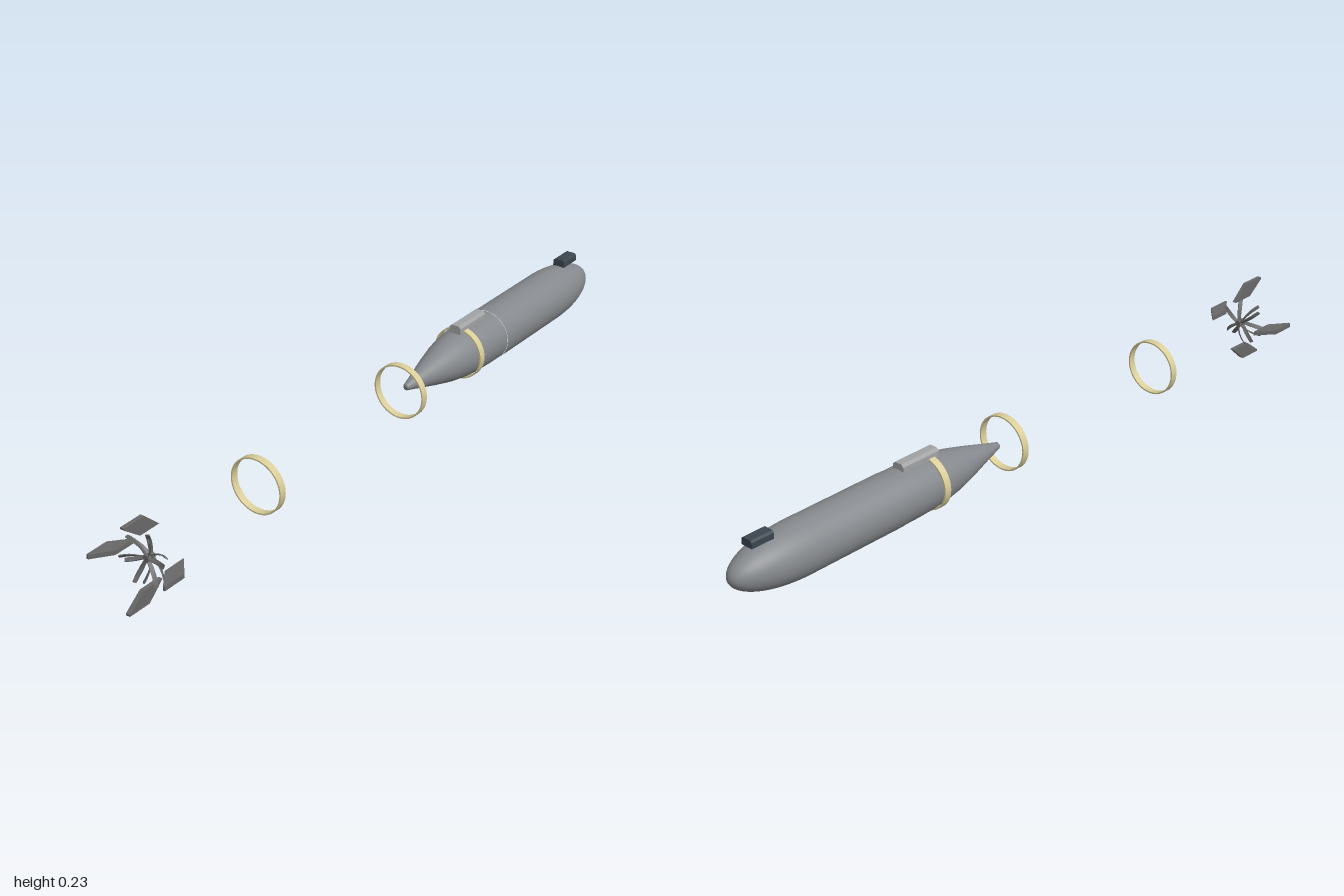
import * as THREE from 'three';

const AXIS_Y = 0.117; // height of the long axis

const mat = (color, side = THREE.FrontSide) =>
  new THREE.MeshStandardMaterial({ color, side });

function add(parent, name, geometry, material, x = 0, y = 0, z = 0) {
  const mesh = new THREE.Mesh(geometry, material);
  mesh.name = name;
  mesh.position.set(x, y, z);
  parent.add(mesh);
  return mesh;
}

// Surface of revolution about x, from [x, radius] points in order of rising x
function turned(points, segments = 48) {
  const pts = points.map(([x, r]) => new THREE.Vector2(r, x));
  return new THREE.LatheGeometry(pts, segments).rotateZ(-Math.PI / 2);
}

// Thin band with flat edges, each face with its own sharp normals
function band(parent, name, x, outer, material) {
  const shape = new THREE.Shape().absarc(0, 0, outer, 0, Math.PI * 2);
  shape.holes.push(new THREE.Path().absarc(0, 0, outer - 0.004, 0, Math.PI * 2, true));
  const geo = new THREE.ExtrudeGeometry(shape, { depth: 0.02, bevelEnabled: false, curveSegments: 48 });
  geo.translate(0, 0, -0.01).rotateY(Math.PI / 2);
  add(parent, name, geo, material, x);
}

// Housing along x with chamfered top edges
function housing(length, width, height, chamfer) {
  const w = width / 2, h = height / 2;
  const shape = new THREE.Shape([
    [-w, -h], [w, -h], [w, h - chamfer], [w - chamfer, h], [chamfer - w, h], [-w, h - chamfer],
  ].map(p => new THREE.Vector2(...p)));
  return new THREE.ExtrudeGeometry(shape, { depth: length, bevelEnabled: false })
    .translate(0, 0, -length / 2).rotateY(Math.PI / 2);
}

// Slender twisted blade along +y, swept back towards its tip
function blade(handed) {
  const geo = new THREE.BoxGeometry(0.003, 1, 0.012, 1, 10, 1);
  const p = geo.attributes.position;
  for (let i = 0; i < p.count; i++) {
    const t = p.getY(i) + 0.5;
    const twist = handed * (1.15 - 0.5 * t);
    const chord = p.getZ(i) * (0.7 + 0.8 * t - 0.7 * t * t);
    const thick = p.getX(i);
    p.setXYZ(i,
      thick * Math.cos(twist) + chord * Math.sin(twist) - 0.02 * t * t,
      0.006 + 0.062 * t,
      chord * Math.cos(twist) - thick * Math.sin(twist) + handed * 0.01 * t * t);
  }
  geo.computeVertexNormals();
  return geo;
}

export function createModel() {
  const model = new THREE.Group();
  model.name = 'explodedTorpedo';
  const axis = new THREE.Group();
  axis.name = 'axis';
  axis.position.y = AXIS_Y;
  model.add(axis);

  const hullGrey = mat(0x85888c);
  const darkGrey = mat(0x686868);
  const lightGrey = mat(0xa0a2a4);
  const slate = mat(0x3c454e);
  const cream = mat(0xd8cc98);

  // Hull: tapered tail, straight middle and blunt pointed nose
  add(axis, 'tailCone', turned([
    [0.105, 0], [0.105, 0.009], [0.16, 0.024], [0.22, 0.041], [0.28, 0.056],
    [0.33, 0.0645], [0.38, 0.069], [0.43, 0.071], [0.49, 0.0715],
  ]), hullGrey);
  add(axis, 'midHull', turned([[0.49, 0.0725], [0.79, 0.0725]]), hullGrey);
  const nose = [];
  for (let i = 0; i <= 20; i++) {
    const t = i / 20;
    nose.push([0.79 + 0.21 * Math.sin(t * Math.PI / 2), 0.0725 * Math.cos(t * Math.PI / 2)]);
  }
  nose[20][1] = 0;
  add(axis, 'nose', turned(nose), hullGrey);

  // Clamp bands: one fitted, two drawn off towards the tail
  band(axis, 'fittedBand', 0.36, 0.074, cream);
  band(axis, 'middleBand', 0.08, 0.0765, cream);
  band(axis, 'rearBand', -0.52, 0.0765, cream);

  // Housings on the upper side
  add(axis, 'rearHousing', housing(0.122, 0.036, 0.024, 0.007), lightGrey, 0.396, 0.077);
  add(axis, 'frontHousing', housing(0.067, 0.036, 0.021, 0.005), slate, 0.907, 0.076);

  // Four swept tail fins
  const finShape = new THREE.Shape([
    [-0.95, 0.074], [-0.884, 0.074], [-0.932, 0.117], [-1, 0.117], [-1, 0.112],
  ].map(p => new THREE.Vector2(...p)));
  const finGeo = new THREE.ExtrudeGeometry(finShape, { depth: 0.012, bevelEnabled: false })
    .translate(0, 0, -0.006);
  const finNames = ['topFin', 'frontFin', 'bottomFin', 'backFin'];
  finNames.forEach((name, i) => {
    add(axis, name, finGeo, darkGrey).rotation.x = i * Math.PI / 2;
  });

  // Two opposed propellers on small hubs
  [1, -1].forEach((handed, k) => {
    const prop = new THREE.Group();
    prop.name = k ? 'rearPropeller' : 'frontPropeller';
    prop.position.x = k ? -0.925 : -0.911;
    axis.add(prop);
    const geo = blade(handed);
    for (let i = 0; i < 6; i++) {
      add(prop, 'blade', geo, darkGrey).rotation.x = (i + k / 2) * Math.PI / 3;
    }
    add(prop, 'hub', new THREE.CylinderGeometry(0.009, 0.009, 0.01, 20).rotateZ(Math.PI / 2), darkGrey);
  });

  return model;
}
